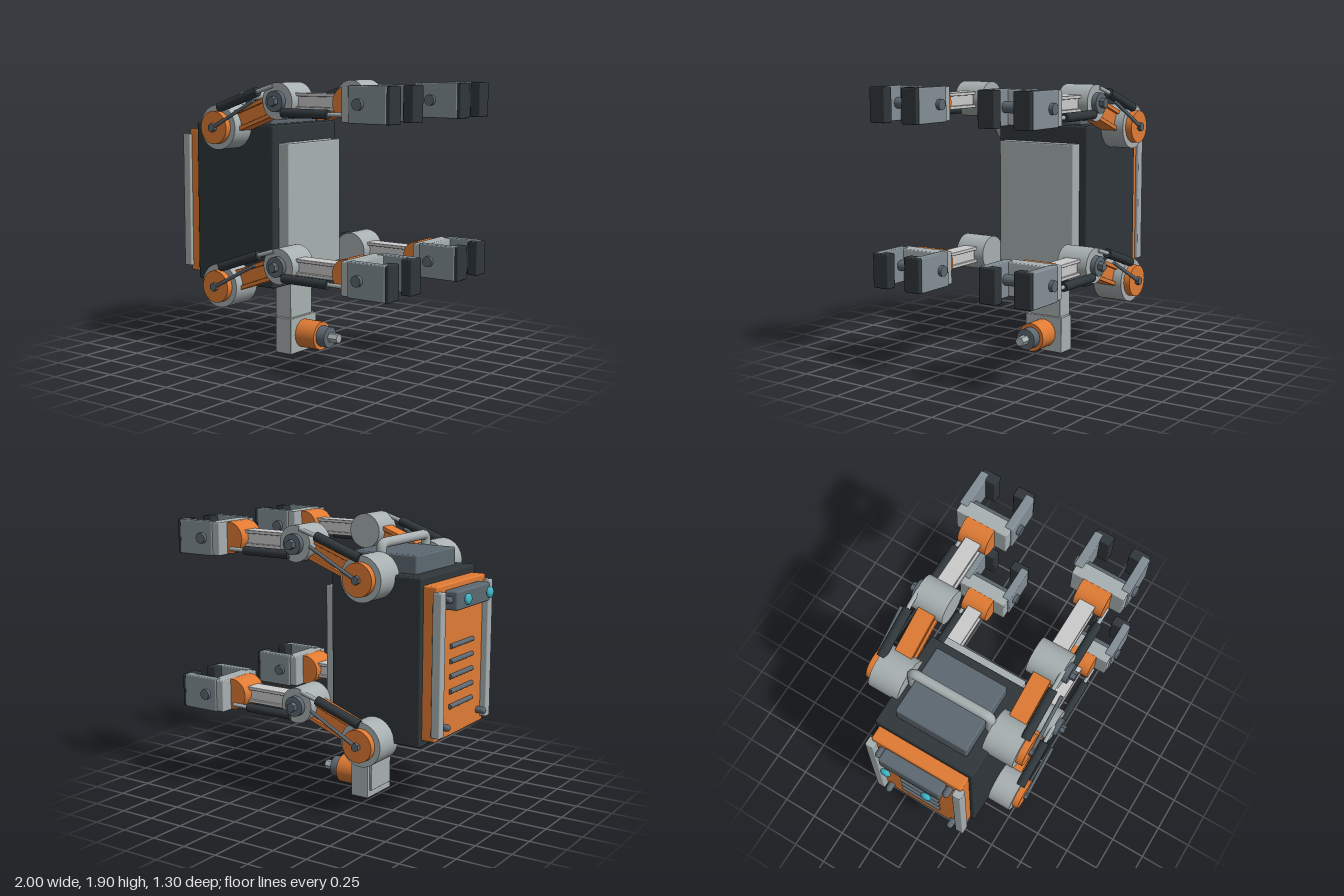
import * as THREE from 'three';
import { RoundedBoxGeometry } from 'three/addons/geometries/RoundedBoxGeometry.js';

const mat = (color) => new THREE.MeshStandardMaterial({ color });
const DARK = mat(0x2f363a), ORANGE = mat(0xe07b34), LIGHT = mat(0xa8b0b1);
const SLATE = mat(0x5d6871), STEEL = mat(0x828e95), PALE = mat(0xc8cbca), CYAN = mat(0x3fb5c8);
const V = (x, y, z) => new THREE.Vector3(x, y, z);

function add(parent, name, geometry, material) {
  const mesh = new THREE.Mesh(geometry, material);
  mesh.name = name;
  parent.add(mesh);
  return mesh;
}

// Box given by its limits on each axis, with slightly rounded edges
function box(parent, name, material, [x0, x1], [y0, y1], [z0, z1], r = 0.008) {
  const g = new RoundedBoxGeometry(x1 - x0, y1 - y0, Math.abs(z1 - z0), 2, r);
  const mesh = add(parent, name, g, material);
  mesh.position.set((x0 + x1) / 2, (y0 + y1) / 2, (z0 + z1) / 2);
  return mesh;
}

// Cylinder between two points
function rod(parent, name, material, a, b, r, sides = 32) {
  const g = new THREE.CylinderGeometry(r, r, a.distanceTo(b), sides);
  const mesh = add(parent, name, g, material);
  if (sides < 9) {
    mesh.geometry = g.toNonIndexed();
    mesh.geometry.computeVertexNormals();
  }
  mesh.position.copy(a).lerp(b, 0.5);
  mesh.quaternion.setFromUnitVectors(V(0, 1, 0), b.clone().sub(a).normalize());
  return mesh;
}

// I-beam between two points in a plane of constant z
function beam(parent, name, material, a, b, height, width) {
  const g = new THREE.Group();
  g.name = name;
  g.position.copy(a).lerp(b, 0.5);
  g.rotation.z = Math.atan2(b.y - a.y, b.x - a.x);
  const l = a.distanceTo(b) / 2, h = height / 2, w = width / 2, t = height * 0.2;
  box(g, name + 'Web', material, [-l, l], [-h + t / 2, h - t / 2], [-w * 0.7, w * 0.7], 0.002);
  for (const s of [-1, 1]) {
    const y = s * (h - t / 2);
    box(g, name + 'Flange', material, [-l, l], [y - t / 2, y + t / 2], [-w, w], 0.004);
  }
  parent.add(g);
}

// One arm: s is the side (+1 or -1 along z), y is the shoulder height
function createArm(s, y) {
  const arm = new THREE.Group();
  arm.name = (s > 0 ? 'front' : 'back') + (y > 1 ? 'Upper' : 'Lower') + 'Arm';
  const e = y + 0.186; // elbow and hand height
  const P = (x, py, z) => V(x, py, s * z);
  const axle = (name, m, x, py, z0, z1, r, sides) => rod(arm, name, m, P(x, py, z0), P(x, py, z1), r, sides);
  const block = (name, m, xs, ys, [z0, z1], r) => box(arm, name, m, xs, ys, [s * z0, s * z1], r);

  // Shoulder and elbow joints
  axle('shoulder', LIGHT, -0.42, y, 0.31, 0.53, 0.15, 48);
  axle('shoulderCap', ORANGE, -0.42, y, 0.53, 0.575, 0.11, 40);
  axle('shoulderBolt', SLATE, -0.42, y, 0.57, 0.60, 0.03, 6);
  axle('elbow', LIGHT, 0.085, e, 0.305, 0.53, 0.12, 48);
  axle('elbowCap', SLATE, 0.085, e, 0.53, 0.565, 0.068);
  axle('elbowBolt', SLATE, 0.085, e, 0.56, 0.60, 0.033, 6);

  // Upper arm and forearm beams
  beam(arm, 'upperArm', ORANGE, P(-0.42, y, 0.42), P(0.085, e, 0.42), 0.14, 0.125);
  beam(arm, 'forearm', PALE, P(0.085, e, 0.42), P(0.6, e, 0.42), 0.11, 0.115);

  // Pistons and the thin linkage
  rod(arm, 'upperPiston', DARK, P(-0.41, y + 0.13, 0.525), P(-0.08, y + 0.245, 0.525), 0.032, 24);
  rod(arm, 'upperPistonRod', LIGHT, P(-0.09, y + 0.242, 0.525), P(0.05, y + 0.285, 0.525), 0.015, 16);
  rod(arm, 'lowerPiston', DARK, P(0.13, e - 0.073, 0.532), P(0.49, e - 0.073, 0.532), 0.03, 24);
  rod(arm, 'lowerPistonRod', LIGHT, P(0.48, e - 0.073, 0.53), P(0.62, e - 0.073, 0.53), 0.014, 16);
  rod(arm, 'linkage', SLATE, P(-0.42, y, 0.585), P(-0.07, y + 0.185, 0.585), 0.012, 12);

  // Wrist: half-round knuckle, squared off towards the palm
  axle('wrist', ORANGE, 0.625, e, 0.325, 0.53, 0.106, 40);
  block('wristBlock', ORANGE, [0.62, 0.65], [e - 0.106, e + 0.106], [0.325, 0.53], 0.003);

  // Claw: palm, two side plates, dark gripping pads and a cross pin
  block('palm', LIGHT, [0.643, 0.75], [e - 0.113, e + 0.108], [0.24, 0.615]);
  for (const k of [-1, 1]) {
    const z = (d) => 0.425 + k * d;
    block('clawPlate', STEEL, [0.70, 0.975], [e - 0.117, e + 0.114], [z(0.14), z(0.2)]);
    block('clawPad', DARK, [0.925, 1.0], [e - 0.118, e + 0.113], [z(0.068), z(0.192)]);
  }
  axle('clawPin', SLATE, 0.78, e, 0.2, 0.65, 0.036, 32);
  return arm;
}

export function createModel() {
  const model = new THREE.Group();
  model.name = 'fourArmedMachine';

  // Torso, chest plate and back panel
  box(model, 'torso', DARK, [-0.76, -0.085], [0.505, 1.613], [-0.36, 0.36], 0.015);
  box(model, 'chestPlate', LIGHT, [-0.10, 0], [0.62, 1.49], [-0.3, 0.3]);
  box(model, 'backPanel', ORANGE, [-0.855, -0.74], [0.55, 1.56], [-0.33, 0.33], 0.012);
  for (let i = 0; i < 5; i++) {
    const y = 0.75 + i * 0.1;
    rod(model, 'ventBar', SLATE, V(-0.86, y, -0.15), V(-0.86, y, 0.15), 0.016, 16);
  }

  // Back rails, screws, sensor box and lamps
  for (const s of [-1, 1]) {
    box(model, 'backRail', LIGHT, [-0.9, -0.835], [0.585, 1.525], [s * 0.29, s * 0.352]);
    for (const y of [0.64, 1.47]) {
      rod(model, 'screw', SLATE, V(-0.9, y, s * 0.25), V(-0.84, y, s * 0.25), 0.024, 16);
      const head = add(model, 'screwHead', new THREE.SphereGeometry(0.024, 16, 10), SLATE);
      head.position.set(-0.9, y, s * 0.25);
    }
    const lamp = add(model, 'lamp', new THREE.SphereGeometry(0.037, 24, 16), CYAN);
    lamp.scale.x = 0.55;
    lamp.position.set(-0.98, 1.47, s * 0.15);
  }
  box(model, 'sensorBox', SLATE, [-0.946, -0.85], [1.4, 1.525], [-0.227, 0.227], 0.015);

  // Top box and carrying handle
  box(model, 'topBox', SLATE, [-0.665, -0.175], [1.6, 1.732], [-0.258, 0.258], 0.012);
  const handlePath = new THREE.CurvePath();
  handlePath.add(new THREE.LineCurve3(V(-0.42, 1.6, -0.285), V(-0.42, 1.75, -0.285)));
  handlePath.add(new THREE.QuadraticBezierCurve3(V(-0.42, 1.75, -0.285), V(-0.42, 1.797, -0.285), V(-0.42, 1.797, -0.24)));
  handlePath.add(new THREE.LineCurve3(V(-0.42, 1.797, -0.24), V(-0.42, 1.797, 0.24)));
  handlePath.add(new THREE.QuadraticBezierCurve3(V(-0.42, 1.797, 0.24), V(-0.42, 1.797, 0.285), V(-0.42, 1.75, 0.285)));
  handlePath.add(new THREE.LineCurve3(V(-0.42, 1.75, 0.285), V(-0.42, 1.6, 0.285)));
  add(model, 'handle', new THREE.TubeGeometry(handlePath, 80, 0.033, 20), LIGHT);

  // Post and foot with its drive motor
  box(model, 'post', LIGHT, [-0.252, -0.12], [0.2, 0.53], [-0.125, 0.125], 0.005);
  box(model, 'foot', LIGHT, [-0.235, -0.1], [0, 0.255], [-0.15, 0.15], 0.005);
  box(model, 'footPlate', LIGHT, [-0.25, -0.2], [0.05, 0.25], [-0.125, 0.125], 0.004);
  const motor = [['motor', ORANGE, -0.11, 0.06, 0.1, 40], ['motorCollar', SLATE, 0.05, 0.13, 0.074, 32], ['motorShaft', LIGHT, 0.12, 0.205, 0.034, 6]];
  for (const [name, m, x0, x1, r, sides] of motor) rod(model, name, m, V(x0, 0.13, 0), V(x1, 0.13, 0), r, sides);

  // Four arms
  for (const s of [-1, 1]) for (const y of [0.517, 1.597]) model.add(createArm(s, y));
  return model;
}
